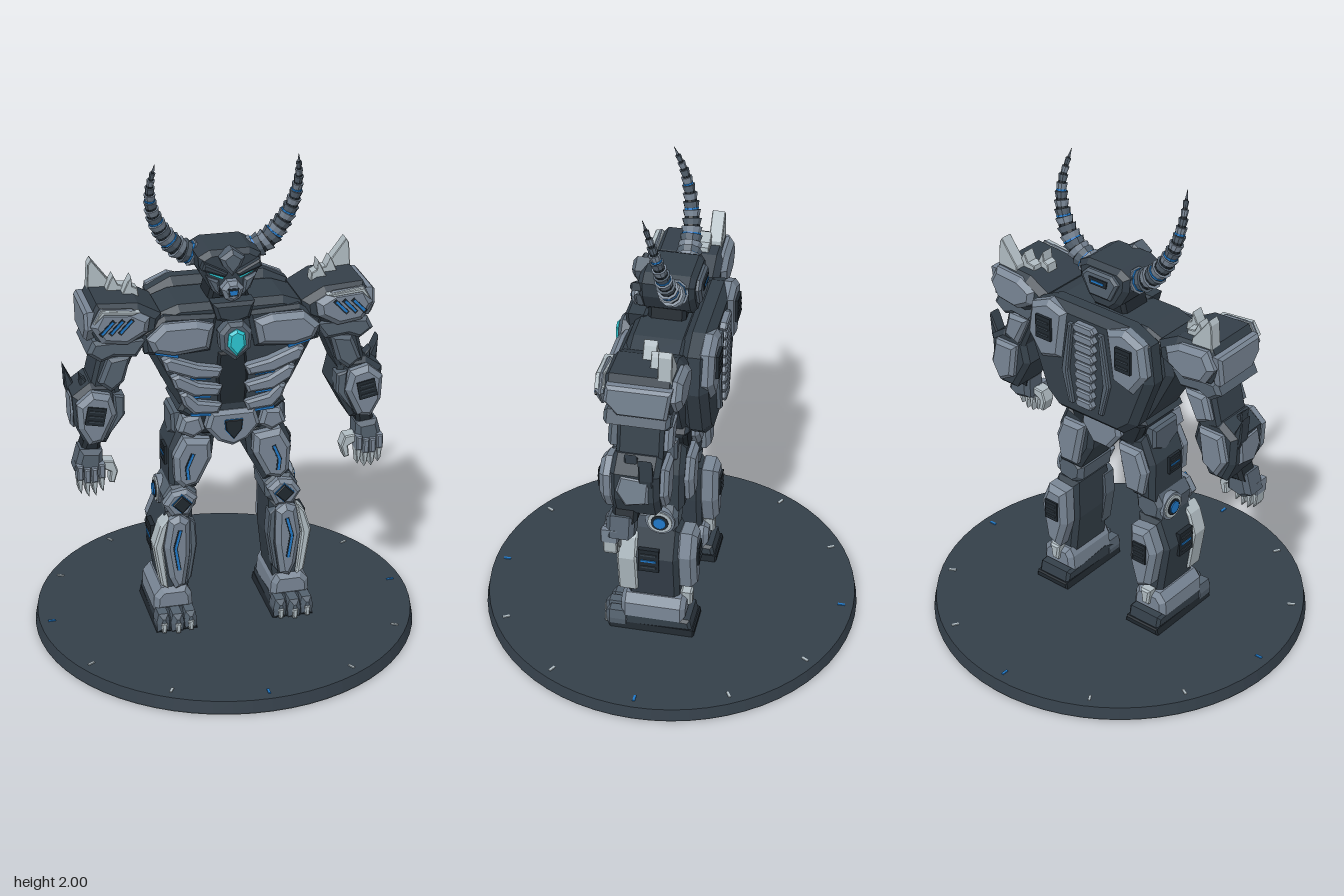
import * as THREE from 'three';

const mat = (name, color) => {
  const m = new THREE.MeshStandardMaterial({ color, flatShading: true });
  m.name = name;
  return m;
};

export function createModel() {
  const root = new THREE.Group();
  root.name = 'hornedRobot';
  const dark = mat('darkSteel', 0x343f49), black = mat('blackSteel', 0x20282f), mid = mat('greySteel', 0x788594),
    slate = mat('slateSteel', 0x54616e), light = mat('paleSteel', 0xb0bcc2), blue = mat('blueGlow', 0x1f78c8),
    cyan = mat('cyanGlow', 0x2cc4d0);

  const add = (name, geo, m, parent = root) => {
    const mesh = new THREE.Mesh(geo, m);
    mesh.name = name;
    parent.add(mesh);
    return mesh;
  };
  // bevelled plate: flat outline x,y,x,y... extruded from z0 to z1
  const slab = (p, z0, z1, b) => {
    const pts = [];
    for (let i = 0; i < p.length; i += 2) pts.push(new THREE.Vector2(p[i], p[i + 1]));
    const g = new THREE.ExtrudeGeometry(new THREE.Shape(pts), {
      depth: z1 - z0 - 2 * b, bevelEnabled: b > 0, bevelThickness: b, bevelSize: b, bevelOffset: -b, bevelSegments: 1,
    });
    return g.translate(0, 0, z0 + b);
  };
  const plate = (name, m, p, z0, z1, b = 0.015, s = 1, parent = root) =>
    add(name, slab(p.map((v, i) => (i % 2 ? v : v * s)), z0, z1, b), m, parent);
  // symmetric plate from its +x half outline
  const sym = (name, m, h, z0, z1, b = 0.015) => {
    const p = [...h];
    for (let i = h.length - 2; i >= 0; i -= 2) if (h[i] > 0) p.push(-h[i], h[i + 1]);
    return plate(name, m, p, z0, z1, b);
  };
  // plate on the outer side: outline z,y extruded from x0 to x1
  const sidePlate = (name, m, p, x0, x1, b, s, parent) => {
    const g = slab(p.map((v, i) => (i % 2 ? v : -v * s)), x0, x1, b);
    return add(name, g.rotateY(s * Math.PI / 2), m, parent);
  };
  // thin straight strip facing z
  const strip = (name, m, x1, y1, x2, y2, w, z, s, parent = root) => {
    const mesh = add(name, new THREE.BoxGeometry(Math.hypot(x2 - x1, y2 - y1), w, 0.008), m, parent);
    mesh.position.set(s * (x1 + x2) / 2, (y1 + y2) / 2, z);
    mesh.rotation.z = Math.atan2(y2 - y1, s * (x2 - x1));
  };
  // louvred vent facing z (dir is +1 or -1), middle bar in its own colour
  const vent = (name, x, y, z, w, h, tilt, dir, centre, s, parent) => {
    const g = new THREE.Group();
    g.name = name;
    add('ventFrame', new THREE.BoxGeometry(w, h, 0.02), black, g);
    for (let i = -1; i <= 1; i++) {
      const bar = add('ventBar', new THREE.BoxGeometry(w * 0.75, h * 0.08, 0.006), i ? dark : centre, g);
      bar.position.set(0, i * h * 0.28, dir * 0.011);
    }
    g.position.set(x * s, y, z);
    g.rotation.z = tilt * s;
    parent.add(g);
    return g;
  };

  // Display base with pale underside and hour marks
  add('base', new THREE.CylinderGeometry(0.78, 0.79, 0.051, 64).translate(0, 0.0295, 0), dark);
  add('baseUnderside', new THREE.CylinderGeometry(0.79, 0.788, 0.004, 64).translate(0, 0.002, 0), light);
  for (let i = 0; i < 12; i++) {
    const g = new THREE.BoxGeometry(0.03, 0.006, 0.01).translate(0.73, 0.056, 0).rotateY(i * Math.PI / 6);
    add('baseMark', g, i % 3 ? light : blue);
  }

  // Torso
  sym('torso', dark, [0.21, 1.45, 0.32, 1.41, 0.34, 1.28, 0.25, 1.1, 0.19, 1], -0.11, 0.13, 0.025);
  sym('waist', black, [0.19, 1.03, 0.2, 0.98, 0.16, 0.88], -0.1, 0.11);
  sym('belly', black, [0.06, 1.25, 0.07, 1.14, 0.06, 1.01], 0.1, 0.14);
  sym('belt', dark, [0.2, 1.04, 0.22, 1.01, 0.18, 0.98], -0.11, 0.14);
  sym('collar', dark, [0.085, 1.46, 0.065, 1.39, 0, 1.37], 0.08, 0.17);
  sym('neck', black, [0.07, 1.5, 0.09, 1.42], -0.07, 0.08);
  sym('backArmour', dark, [0.19, 1.48, 0.29, 1.43, 0.31, 1.27, 0.23, 1.05, 0.16, 0.99], -0.2, -0.09, 0.03);
  sym('gemFrame', slate, [0.03, 1.39, 0.065, 1.35, 0.06, 1.28, 0, 1.23], 0.13, 0.205);
  sym('chestGem', cyan, [0, 1.368, 0.032, 1.35, 0.037, 1.3, 0, 1.255], 0.19, 0.22, 0.01);
  sym('pelvis', mid, [0.09, 1.0, 0.11, 0.93, 0.06, 0.87, 0, 0.845], 0.05, 0.16);
  sym('pelvisGlow', blue, [0.038, 0.965, 0.034, 0.92, 0, 0.878], 0.155, 0.163, 0);
  sym('pelvisDiamond', black, [0.036, 0.963, 0.032, 0.921, 0, 0.882], 0.155, 0.17, 0.003);
  sym('rearPelvis', mid, [0.09, 1.0, 0.1, 0.92, 0.04, 0.84], -0.13, -0.08);
  for (let i = 0; i < 9; i++) {
    const y = 1.42 - i * 0.042, w = 0.056 - i * 0.0015;
    sym('vertebra', mid, [w * 0.75, y + 0.019, w, y, w * 0.75, y - 0.019], -0.228, -0.19, 0.006);
  }

  // Head
  sym('skull', dark, [0.08, 1.655, 0.125, 1.63, 0.12, 1.57, 0.08, 1.5, 0.04, 1.465], -0.11, 0.11, 0.02);
  sym('crest', slate, [0, 1.67, 0.05, 1.635, 0.035, 1.6, 0, 1.56], 0.07, 0.15);
  sym('muzzle', mid, [0.02, 1.54, 0.045, 1.51, 0.03, 1.47, 0, 1.455], 0.09, 0.155);
  sym('mouth', black, [0.022, 1.515, 0.018, 1.483], 0.15, 0.158, 0);
  sym('mouthGlow', blue, [0.016, 1.507, 0.012, 1.49], 0.153, 0.161, 0);
  sym('headBack', slate, [0.06, 1.63, 0.09, 1.6, 0.05, 1.52], -0.13, -0.1, 0.01);
  sym('headBackPanel', black, [0.045, 1.605, 0.04, 1.575], -0.135, -0.128, 0);
  sym('headBackGlow', blue, [0.03, 1.594, 0.03, 1.586], -0.138, -0.131, 0);

  for (const s of [1, -1]) {
    const side = new THREE.Group();
    side.name = s > 0 ? 'leftSide' : 'rightSide';
    root.add(side);
    const P = (name, m, p, z0, z1, b = 0.015) => plate(name, m, p, z0, z1, b, s, side);
    const S = (name, m, p, x0, x1, b = 0.012) => sidePlate(name, m, p, x0, x1, b, s, side);
    const L = (name, m, x1, y1, x2, y2, w, z) => strip(name, m, x1, y1, x2, y2, w, z, s, side);
    const V = (name, x, y, z, w, h, tilt, dir, centre) => vent(name, x, y, z, w, h, tilt, dir, centre, s, side);

    // Face details
    P('brow', dark, [0.015, 1.57, 0.11, 1.62, 0.12, 1.59, 0.03, 1.555], 0.09, 0.14, 0.008);
    P('eye', cyan, [0.025, 1.556, 0.095, 1.586, 0.085, 1.566, 0.035, 1.543], 0.113, 0.121, 0);
    P('cheek', slate, [0.05, 1.54, 0.1, 1.56, 0.075, 1.5, 0.045, 1.475], 0.08, 0.13, 0.01);

    // Ridged horn: flared grey rings, dark grooves, a few glowing bands
    const path = new THREE.CatmullRomCurve3([[0.1, 1.595, -0.04], [0.17, 1.625, -0.035], [0.235, 1.695, -0.03],
      [0.28, 1.79, -0.015], [0.294, 1.89, 0.01], [0.282, 2.0, 0.05]].map(([x, y, z]) => new THREE.Vector3(x * s, y, z)));
    const up = new THREE.Vector3(0, 1, 0), N = 15, rad = t => 0.05 * (1 - t) ** 0.8 + 0.001;
    for (let i = 0; i < N; i++) {
      const a = path.getPointAt(i / N), b = path.getPointAt((i + 1) / N), d = b.clone().sub(a), len = d.length();
      const piece = (name, r0, r1, h, at, m) => {
        const ring = add(name, new THREE.CylinderGeometry(r1, r0, h, 10), m, side);
        ring.position.copy(a).lerp(b, at);
        ring.quaternion.setFromUnitVectors(up, d.clone().normalize());
      };
      const r = rad(i / N), tip = i === N - 1;
      piece('hornCore', r * 0.86, rad((i + 1) / N) * 0.86, len * 1.15, 0.5, black);
      piece('hornRing', r * 0.88, (tip ? 0.001 : r * 1.06), len * (tip ? 1 : 0.72), 0.5, i % 2 ? slate : mid);
      if (i % 3 === 1 && i < 11) piece('hornGlow', r * 0.95, r * 0.95, 0.007, 0.04, blue);
    }

    // Chest and ribs
    P('chestBacking', dark, [0.06, 1.41, 0.27, 1.42, 0.36, 1.36, 0.35, 1.27, 0.26, 1.25, 0.09, 1.26], 0.09, 0.15);
    P('chestPlate', mid, [0.08, 1.38, 0.15, 1.4, 0.28, 1.4, 0.345, 1.34, 0.32, 1.285, 0.24, 1.265, 0.1, 1.28], 0.13, 0.19, 0.022);
    L('chestGlow', blue, 0.22, 1.253, 0.31, 1.276, 0.01, 0.155);
    for (let i = 0; i < 3; i++) {
      const y = 1.185 - i * 0.078, w = 0.285 - i * 0.035;
      P('rib', mid, [0.045, y + 0.005, 0.14, y + 0.025, w - 0.03, y + 0.07, w, y + 0.06, w - 0.015, y + 0.015, 0.16, y - 0.028, 0.06, y - 0.035], 0.1, 0.175 - i * 0.006, 0.011);
      L('ribGlow', blue, 0.09, y - 0.04, 0.17, y - 0.035, 0.009, 0.146);
    }

    // Back blades, vents and rails
    P('backBlade', mid, [0.1, 1.45, 0.19, 1.48, 0.28, 1.44, 0.3, 1.31, 0.23, 1.21, 0.13, 1.24], -0.22, -0.15, 0.02);
    V('backVent', 0.2, 1.36, -0.222, 0.075, 0.1, 0, -1, dark);
    P('backRail', slate, [0.065, 1.42, 0.085, 1.42, 0.12, 1.2, 0.085, 1.06, 0.065, 1.06, 0.09, 1.2], -0.22, -0.18, 0.006);

    // Shoulder
    P('shoulder', dark, [0.28, 1.43, 0.37, 1.48, 0.53, 1.49, 0.57, 1.41, 0.53, 1.33, 0.4, 1.31, 0.29, 1.36], -0.13, 0.15, 0.025);
    const pad = [0.33, 1.43, 0.4, 1.47, 0.525, 1.48, 0.562, 1.41, 0.52, 1.34, 0.42, 1.325, 0.34, 1.37];
    P('shoulderFront', mid, pad, 0.13, 0.18, 0.022);
    P('shoulderBack', mid, pad, -0.15, -0.09, 0.02);
    P('shoulderRim', light, [0.37, 1.46, 0.52, 1.478, 0.55, 1.425, 0.51, 1.46, 0.4, 1.45], 0.14, 0.178, 0.004);
    for (let i = 0; i < 3; i++) {
      L('shoulderSlot', black, 0.4 + i * 0.036, 1.436, 0.454 + i * 0.036, 1.38, 0.018, 0.178);
      L('shoulderGlow', blue, 0.405 + i * 0.036, 1.433, 0.45 + i * 0.036, 1.386, 0.009, 0.181);
    }
    S('shoulderSide', mid, [-0.12, 1.46, 0.13, 1.46, 0.14, 1.39, 0.09, 1.33, -0.1, 1.33], 0.53, 0.58);
    P('lowerShoulder', slate, [0.33, 1.34, 0.55, 1.34, 0.575, 1.29, 0.52, 1.25, 0.47, 1.27, 0.38, 1.26], -0.11, 0.145);
    // tip x, tip y, base from, base to, depth
    const spikes = [[0.515, 1.6, 0.435, 0.535, -0.085], [0.437, 1.545, 0.38, 0.475, -0.042], [0.375, 1.55, 0.345, 0.42, 0]];
    for (const [tx, ty, a, b, z] of spikes)
      P('shoulderSpike', light, [a, 1.46, a + 0.005, 1.5, (a + tx) / 2 + 0.01, ty - 0.04, tx, ty, tx + 0.012, ty - 0.02, b, 1.46], z - 0.027, z + 0.027, 0.003);

    // Arm
    P('upperArm', dark, [0.36, 1.31, 0.52, 1.28, 0.56, 1.12, 0.45, 1.1], -0.08, 0.1);
    P('upperArmPlate', slate, [0.4, 1.27, 0.49, 1.26, 0.53, 1.16, 0.48, 1.12, 0.43, 1.16], 0.08, 0.14);
    P('upperArmRear', mid, [0.4, 1.26, 0.5, 1.26, 0.53, 1.16, 0.46, 1.13], -0.11, -0.06);
    P('forearm', dark, [0.45, 1.14, 0.56, 1.15, 0.63, 1.1, 0.625, 0.98, 0.585, 0.89, 0.5, 0.89, 0.425, 1.03], -0.08, 0.11, 0.02);
    P('gauntlet', mid, [0.485, 1.11, 0.56, 1.13, 0.62, 1.08, 0.615, 0.98, 0.575, 0.905, 0.52, 0.915, 0.465, 1.03], 0.09, 0.155, 0.02);
    P('gauntletInner', slate, [0.43, 1.1, 0.475, 1.11, 0.47, 1.02, 0.51, 0.92, 0.43, 1.02], 0.06, 0.135, 0.008);
    P('gauntletRear', mid, [0.47, 1.11, 0.58, 1.11, 0.605, 1.0, 0.56, 0.92, 0.49, 0.96], -0.11, -0.06);
    V('gauntletVent', 0.55, 1.035, 0.152, 0.075, 0.075, 0.2, 1, dark);
    S('gauntletSide', mid, [-0.05, 1.09, 0.07, 1.1, 0.09, 1.02, 0.05, 0.95, -0.04, 0.97], 0.605, 0.635);
    P('elbowSpike', dark, [0.585, 1.06, 0.615, 1.13, 0.645, 1.19, 0.64, 1.09, 0.625, 1.04], -0.06, -0.005, 0.006);
    P('elbowSpike', dark, [0.54, 1.1, 0.57, 1.15, 0.592, 1.17, 0.59, 1.08], 0.01, 0.06, 0.006);

    // Hand
    P('wrist', black, [0.52, 0.92, 0.585, 0.92, 0.61, 0.85, 0.53, 0.84], 0.01, 0.11);
    P('palm', slate, [0.52, 0.87, 0.61, 0.88, 0.635, 0.79, 0.59, 0.765, 0.52, 0.78], 0.02, 0.13, 0.018);
    for (let i = 0; i < 4; i++) {
      const x = 0.528 + i * 0.029, y = 0.79 - (i === 1 || i === 2 ? 0.015 : 0);
      P('fingerJoint', mid, [x - 0.012, y + 0.03, x + 0.013, y + 0.03, x + 0.013, y - 0.03, x - 0.012, y - 0.03], 0.08, 0.15, 0.005);
      P('fingerClaw', light, [x - 0.012, y - 0.025, x + 0.013, y - 0.025, x + 0.008, y - 0.075, x - 0.004, y - 0.095], 0.085, 0.14, 0.004);
    }
    P('thumb', light, [0.525, 0.82, 0.475, 0.815, 0.46, 0.77, 0.475, 0.72, 0.495, 0.725, 0.49, 0.77, 0.525, 0.79], 0.06, 0.12, 0.005);

    // Hip and thigh
    P('hipPlate', mid, [0.13, 0.99, 0.2, 0.98, 0.22, 0.92, 0.16, 0.89, 0.11, 0.92], 0.04, 0.15);
    S('hipSide', slate, [-0.07, 0.98, 0.08, 0.98, 0.09, 0.9, 0, 0.85, -0.07, 0.89], 0.18, 0.235);
    P('thigh', dark, [0.06, 0.89, 0.2, 0.95, 0.25, 0.83, 0.25, 0.65, 0.14, 0.65, 0.075, 0.77], -0.1, 0.11, 0.02);
    P('thighPlate', mid, [0.09, 0.88, 0.2, 0.895, 0.24, 0.82, 0.235, 0.71, 0.2, 0.675, 0.14, 0.69, 0.085, 0.8], 0.09, 0.16, 0.02);
    const glowLine = (name, pts, z) => {
      for (let i = 0; i < pts.length - 2; i += 2) {
        L(name + 'Slot', black, pts[i], pts[i + 1], pts[i + 2], pts[i + 3], 0.018, z - 0.002);
        L(name, blue, pts[i], pts[i + 1], pts[i + 2], pts[i + 3], 0.009, z);
      }
    };
    glowLine('thighGlow', [0.165, 0.83, 0.19, 0.77, 0.185, 0.72], 0.161);
    P('thighRear', mid, [0.09, 0.89, 0.2, 0.89, 0.235, 0.8, 0.215, 0.69, 0.13, 0.69], -0.135, -0.08, 0.018);
    V('thighVent', 0.252, 0.79, 0.03, 0.07, 0.08, 0, 1, blue).rotation.set(0, s * Math.PI / 2, 0);

    // Knee
    P('knee', slate, [0.14, 0.64, 0.18, 0.675, 0.25, 0.675, 0.28, 0.63, 0.27, 0.56, 0.19, 0.545, 0.145, 0.58], -0.08, 0.13, 0.02);
    P('kneeCap', mid, [0.145, 0.63, 0.19, 0.67, 0.25, 0.66, 0.285, 0.61, 0.25, 0.555, 0.18, 0.555], 0.1, 0.16, 0.015);
    P('kneeGlow', blue, [0.212, 0.656, 0.255, 0.613, 0.212, 0.57, 0.169, 0.613], 0.155, 0.163, 0);
    P('kneeDiamond', black, [0.212, 0.652, 0.251, 0.613, 0.212, 0.574, 0.173, 0.613], 0.155, 0.172, 0.004);
    [[0.06, 0.282, mid], [0.05, 0.288, light], [0.036, 0.292, black], [0.026, 0.297, blue]].forEach(([r, x, m]) =>
      add('kneeDisc', new THREE.CylinderGeometry(r, r, x - 0.24, 20).rotateZ(Math.PI / 2).translate(s * (x + 0.24) / 2, 0.608, -0.01), m, side));

    // Shin and calf
    P('shin', dark, [0.16, 0.56, 0.27, 0.56, 0.32, 0.44, 0.285, 0.2, 0.18, 0.2, 0.16, 0.38], -0.09, 0.13, 0.02);
    P('shinPlate', mid, [0.18, 0.53, 0.22, 0.56, 0.265, 0.54, 0.285, 0.42, 0.265, 0.28, 0.24, 0.225, 0.2, 0.24, 0.18, 0.38], 0.1, 0.17, 0.02);
    P('shinEdge', light, [0.265, 0.555, 0.3, 0.52, 0.328, 0.43, 0.3, 0.25, 0.27, 0.23, 0.29, 0.42], 0.08, 0.162, 0.008);
    P('shinInner', slate, [0.155, 0.52, 0.18, 0.54, 0.178, 0.38, 0.195, 0.24, 0.172, 0.27, 0.148, 0.42], 0.08, 0.15, 0.006);
    glowLine('shinGlow', [0.222, 0.5, 0.243, 0.42, 0.228, 0.32], 0.171);
    P('calf', mid, [0.175, 0.54, 0.265, 0.55, 0.305, 0.45, 0.275, 0.28, 0.21, 0.25, 0.17, 0.38], -0.16, -0.07, 0.022);
    V('calfVent', 0.235, 0.44, -0.158, 0.065, 0.09, 0, -1, dark);
    V('shinVent', 0.315, 0.43, 0.03, 0.085, 0.11, 0, 1, blue).rotation.set(0, s * Math.PI / 2, 0);

    // Foot
    P('sole', black, [0.165, 0.085, 0.325, 0.085, 0.33, 0.055, 0.16, 0.055], -0.16, 0.2, 0.006);
    S('instep', dark, [-0.15, 0.08, -0.14, 0.13, 0.1, 0.15, 0.2, 0.11, 0.2, 0.07], 0.165, 0.325);
    P('ankle', mid, [0.19, 0.225, 0.295, 0.225, 0.325, 0.19, 0.328, 0.125, 0.165, 0.125, 0.17, 0.19], -0.12, 0.15, 0.02);
    P('heelClaw', light, [0.22, 0.24, 0.27, 0.24, 0.26, 0.17, 0.23, 0.17], -0.14, -0.09, 0.008);
    for (let i = 0; i < 3; i++) {
      const x = 0.19 + i * 0.056, f = i === 1 ? 0.228 : 0.215;
      P('toe', slate, [x - 0.02, 0.14, x + 0.02, 0.14, x + 0.028, 0.1, x + 0.024, 0.06, x - 0.024, 0.06, x - 0.028, 0.1], 0.11, f, 0.018);
      P('toeClaw', light, [x - 0.012, 0.105, x + 0.012, 0.105, x + 0.008, 0.062, x - 0.008, 0.062], f - 0.03, f + 0.006, 0.004);
    }
  }
  return root;
}
